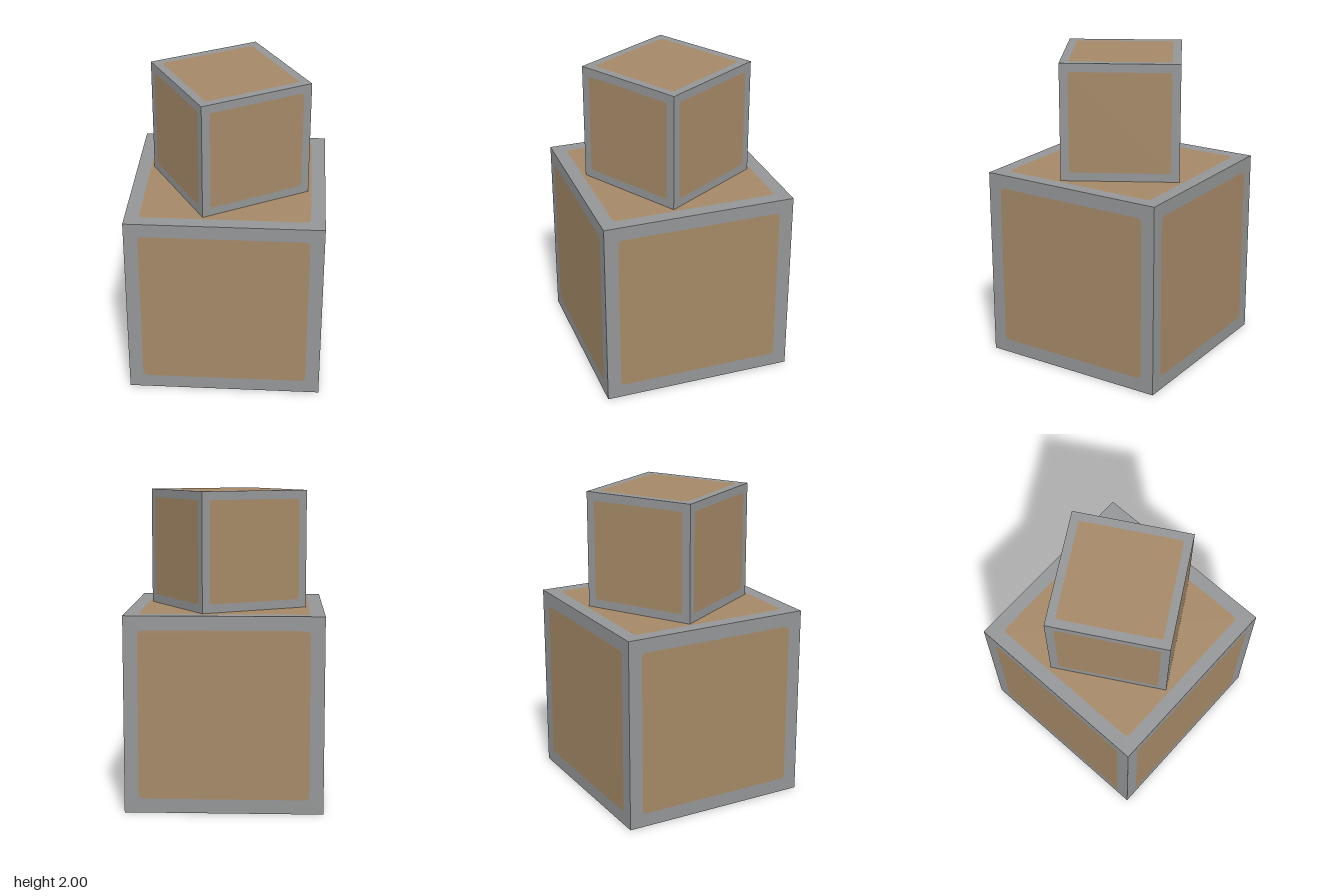
import * as THREE from 'three';

const frameMat = new THREE.MeshStandardMaterial({ color: 0x939596 });
frameMat.name = 'grey frame';
const panelMat = new THREE.MeshStandardMaterial({ color: 0xa48866 });
panelMat.name = 'brown panel';

// Square outline with rounded corners, centred on the origin
function roundedSquare(size, r) {
  const h = size / 2, c = h - r;
  const s = new THREE.Shape();
  s.moveTo(-c, -h);
  s.lineTo(c, -h);
  s.absarc(c, -c, r, -Math.PI / 2, 0);
  s.lineTo(h, c);
  s.absarc(c, c, r, 0, Math.PI / 2);
  s.lineTo(-c, h);
  s.absarc(-c, c, r, Math.PI / 2, Math.PI);
  s.lineTo(-h, -c);
  s.absarc(-c, -c, r, Math.PI, Math.PI * 1.5);
  return s;
}

// Crate of six flat sides: a square frame with a flush panel filling its opening
function crate(name, size) {
  const h = size / 2;
  const panel = roundedSquare(size * 0.856, size * 0.024);
  const frame = new THREE.Shape([[-h, -h], [h, -h], [h, h], [-h, h]].map(p => new THREE.Vector2(...p)));
  frame.holes.push(panel);
  const frameGeo = new THREE.ShapeGeometry(frame, 6).translate(0, 0, h);
  const panelGeo = new THREE.ShapeGeometry(panel, 6).translate(0, 0, h);

  const group = new THREE.Group();
  group.name = name;
  const q = Math.PI / 2;
  const sides = {
    front: [0, 0], left: [0, q], back: [0, 2 * q], right: [0, -q], top: [-q, 0], bottom: [q, 0],
  };
  for (const [side, [rx, ry]] of Object.entries(sides)) {
    for (const [part, geo, mat] of [['Frame', frameGeo, frameMat], ['Panel', panelGeo, panelMat]]) {
      const mesh = new THREE.Mesh(geo, mat);
      mesh.name = side + part;
      mesh.rotation.set(rx, ry, 0);
      group.add(mesh);
    }
  }
  return group;
}

export function createModel() {
  const model = new THREE.Group();
  model.name = 'stackedCrates';

  // Large crate on the ground
  const lower = crate('lowerCrate', 1.246);
  lower.position.y = 0.623;

  // Small crate on top, turned by 30 degrees
  const upper = crate('upperCrate', 0.75);
  upper.position.y = 1.246 + 0.377;
  upper.scale.y = 0.754 / 0.75;
  upper.rotation.y = Math.PI / 6;

  model.add(lower, upper);
  return model;
}
